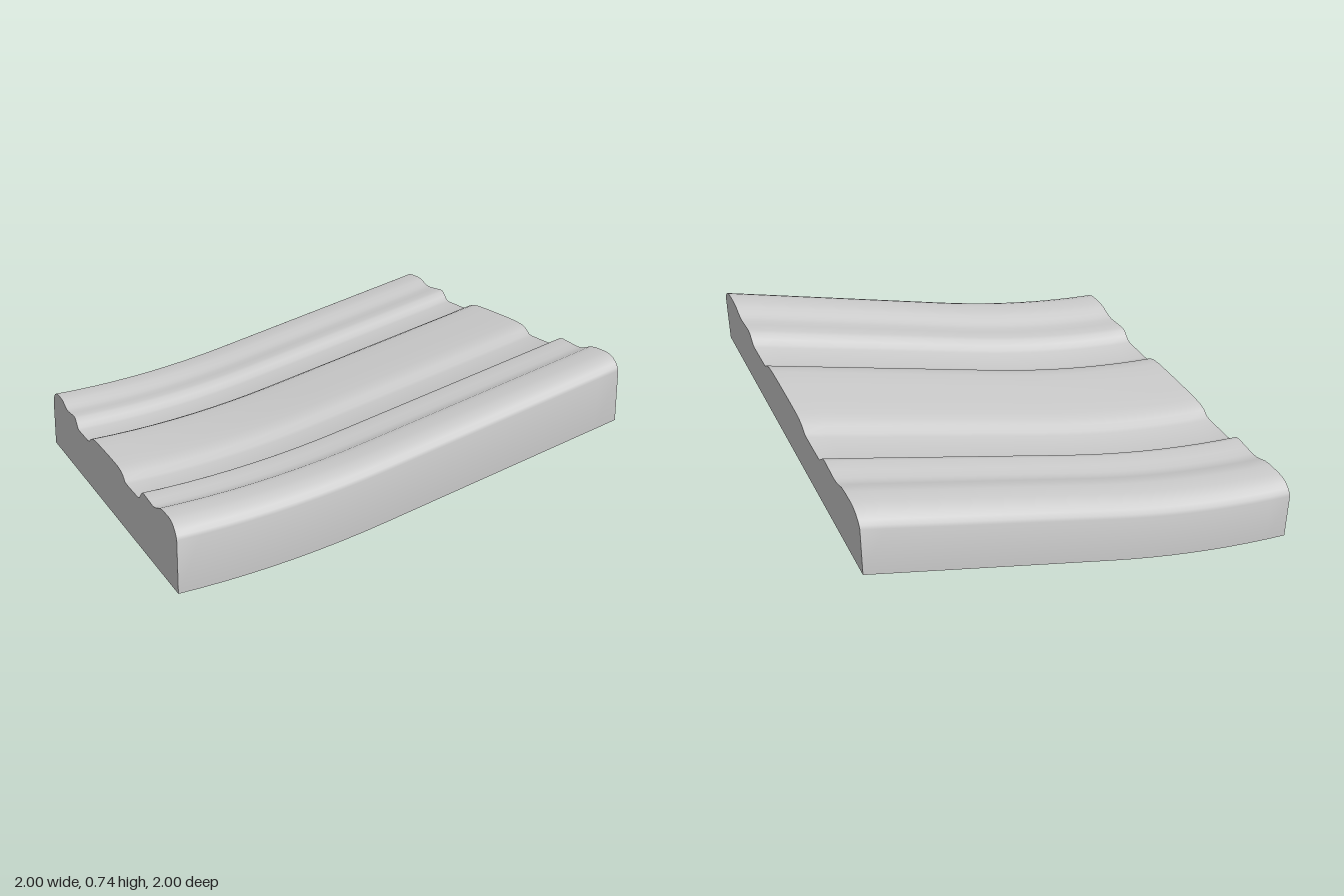
import * as THREE from 'three';
import { toCreasedNormals } from 'three/addons/utils/BufferGeometryUtils.js';

// Height of the underside along the length: gentle curve running into a straight slope
const rise = (x) => 0.18 + 0.27 * x + 0.111 * Math.min(x + 0.1, 0) ** 2;

// Half of the moulded top, from the outer edge to the middle: [z, height above underside]
const half = [
  [1, 0.222], [0.994, 0.237], [0.98, 0.254], [0.957, 0.271], [0.93, 0.281], [0.9, 0.285],
  [0.83, 0.285], [0.79, 0.28], [0.75, 0.266], [0.72, 0.258], [0.69, 0.256], [0.64, 0.26],
  [0.575, 0.265], [0.55, 0.261], [0.525, 0.242], [0.505, 0.224], [0.485, 0.219],
  [0.32, 0.219], [0.295, 0.223], [0.265, 0.243], [0.23, 0.254], [0.18, 0.259], [0.08, 0.261],
];

function mouldedGeometry() {
  const top = [...half, ...half.map(([z, y]) => [-z, y]).reverse()];
  const points = [[1, 0], ...top, [-1, 0]].map(([z, y]) => new THREE.Vector2(z, y));
  const geometry = new THREE.ExtrudeGeometry(new THREE.Shape(points), {
    depth: 2, steps: 20, bevelEnabled: false,
  });
  geometry.translate(0, 0, -1);
  geometry.rotateY(Math.PI / 2);

  // Lift each cross-section along the curve, keeping the ends vertical
  const position = geometry.attributes.position;
  for (let i = 0; i < position.count; i++) {
    position.setY(i, position.getY(i) + rise(position.getX(i)));
  }
  geometry.clearGroups();
  return toCreasedNormals(geometry, 0.8);
}

export function createModel() {
  const group = new THREE.Group();
  group.name = 'curvedMoulding';
  const grey = new THREE.MeshStandardMaterial({ color: 0xcccccc });
  grey.name = 'light grey';
  const moulding = new THREE.Mesh(mouldedGeometry(), grey);
  moulding.name = 'moulding';
  group.add(moulding);
  return group;
}
